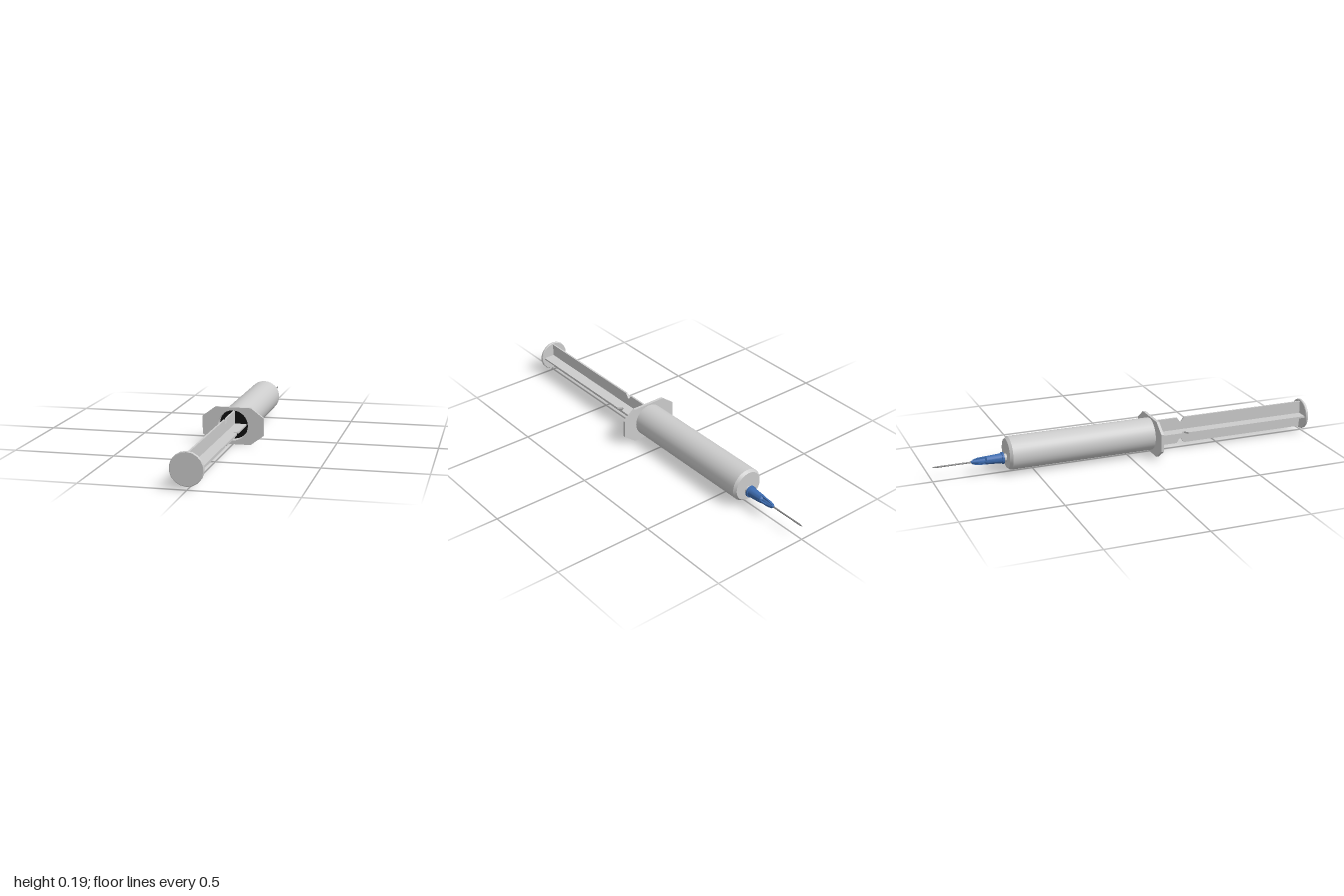
import * as THREE from 'three';
import { toCreasedNormals } from 'three/addons/utils/BufferGeometryUtils.js';

const clear = new THREE.MeshStandardMaterial({ color: 0xcccccc });
clear.name = 'clearPlastic';
const blue = new THREE.MeshStandardMaterial({ color: 0x3d6cb0 });
blue.name = 'bluePlastic';
const steel = new THREE.MeshStandardMaterial({ color: 0x8c8c8c });
steel.name = 'steel';
const rubber = new THREE.MeshStandardMaterial({ color: 0x101010 });
rubber.name = 'blackRubber';

const AXIS = 0.095;   // height of the barrel axis
const TIP = 0.073;    // height of the offset needle axis

function add(group, name, geometry, material, x = 0, y = 0, z = 0) {
  const mesh = new THREE.Mesh(geometry, material);
  mesh.name = name;
  mesh.position.set(x, y, z);
  group.add(mesh);
  return mesh;
}

// Turned part: profile of [radius, z], from the needle end backwards
function turned(profile, sides) {
  const points = profile.map(([r, z]) => new THREE.Vector2(r, z));
  return toCreasedNormals(new THREE.LatheGeometry(points, sides).rotateX(Math.PI / 2), 0.6);
}

// Flat plunger rib running along z, with a V notch in each long edge
function rib(halfWidth, thickness) {
  const edge = [[0.1, 0], [0.275, 0], [0.29, 0.022], [0.3, 0.022], [0.315, 0], [0.99, 0]];
  const outline = [
    ...edge.map(([z, cut]) => new THREE.Vector2(halfWidth - cut, z)),
    ...edge.slice().reverse().map(([z, cut]) => new THREE.Vector2(cut - halfWidth, z)),
  ];
  return new THREE.ExtrudeGeometry(new THREE.Shape(outline), { depth: thickness, bevelEnabled: false })
    .translate(0, 0, -thickness / 2)
    .rotateX(Math.PI / 2);
}

export function createModel() {
  const model = new THREE.Group();
  model.name = 'syringe';

  // Hollow barrel, open at the rear
  add(model, 'barrel', turned([
    [0, -0.632], [0.073, -0.632], [0.083, -0.618], [0.083, 0.135],
    [0.076, 0.135], [0.076, -0.61], [0, -0.61],
  ], 32), clear, 0, AXIS, 0);

  // Eight-sided finger flange with the barrel bore through it
  const octagon = new THREE.Shape([
    [0.154, -0.045], [0.154, 0.045], [0.09, 0.093], [-0.09, 0.093],
    [-0.154, 0.045], [-0.154, -0.045], [-0.09, -0.093], [0.09, -0.093],
  ].map(([x, y]) => new THREE.Vector2(x, y)));
  octagon.holes.push(new THREE.Path().absarc(0, 0.002, 0.076, 0, Math.PI * 2, true));
  add(model, 'fingerFlange',
    new THREE.ExtrudeGeometry(octagon, { depth: 0.014, bevelEnabled: false, curveSegments: 16 }),
    clear, 0, 0.093, 0.126);

  // Plunger: crossed ribs, thumb disc and rubber stopper
  const plunger = new THREE.Group();
  plunger.name = 'plunger';
  plunger.position.set(-0.002, 0.093, 0);
  model.add(plunger);
  add(plunger, 'horizontalRib', rib(0.063, 0.009), clear);
  add(plunger, 'verticalRib', rib(0.069, 0.009).rotateZ(Math.PI / 2), clear);
  add(plunger, 'thumbDisc', turned([
    [0, 0.986], [0.076, 0.986], [0.079, 0.989], [0.079, 0.997], [0.076, 1], [0, 1],
  ], 18), clear);
  add(plunger, 'stopper', turned([
    [0, 0.02], [0.06, 0.035], [0.074, 0.04], [0.074, 0.055], [0.068, 0.06],
    [0.068, 0.085], [0.074, 0.09], [0.074, 0.105], [0, 0.105],
  ], 24), rubber, 0.002, 0.002, 0);

  // Offset nozzle, needle hub and needle
  const needleEnd = new THREE.Group();
  needleEnd.name = 'needleEnd';
  needleEnd.position.y = TIP;
  model.add(needleEnd);
  add(needleEnd, 'nozzle', turned([[0, -0.66], [0.018, -0.66], [0.021, -0.625]], 20), clear);
  add(needleEnd, 'hub', turned([
    [0, -0.81], [0.006, -0.808], [0.011, -0.795], [0.013, -0.74], [0.02, -0.732],
    [0.025, -0.656], [0.029, -0.655], [0.029, -0.646], [0, -0.646],
  ], 20), blue);

  // Four tapered fins around the hub, as two crossed plates
  const finShape = new THREE.Shape([
    [-0.021, -0.72], [-0.018, -0.775], [-0.011, -0.8],
    [0.011, -0.8], [0.018, -0.775], [0.021, -0.72],
  ].map(([x, z]) => new THREE.Vector2(x, z)));
  for (let i = 0; i < 2; i++) {
    const fin = new THREE.ExtrudeGeometry(finShape, { depth: 0.008, bevelEnabled: false })
      .translate(0, 0, -0.004).rotateX(Math.PI / 2).rotateZ(i * Math.PI / 2);
    add(needleEnd, 'hubFins', fin, blue);
  }
  add(needleEnd, 'needle', turned([
    [0, -1], [0.004, -0.985], [0.004, -0.8],
  ], 12), steel);

  return model;
}
